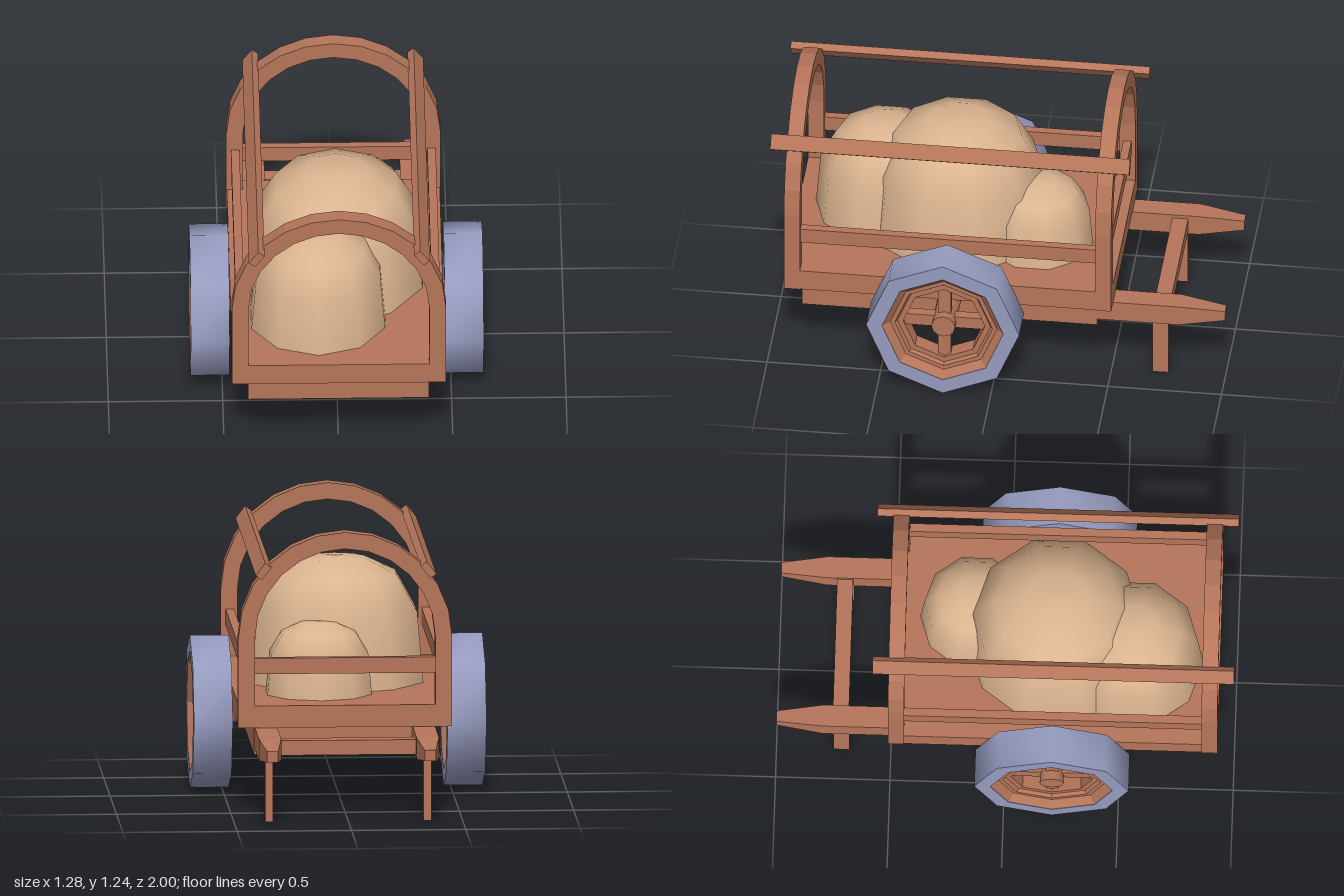
import * as THREE from 'three';
import { toCreasedNormals } from 'three/addons/utils/BufferGeometryUtils.js';

const mat = (name, color, side = THREE.FrontSide) => {
  const m = new THREE.MeshStandardMaterial({ color, side });
  m.name = name;
  return m;
};

export function createModel() {
  const cart = new THREE.Group();
  cart.name = 'handcart';
  const wood = mat('wood', 0xb5755a);
  const sackcloth = mat('sackcloth', 0xdcb590);
  const tyreBlue = mat('tyre blue', 0x969bbf);

  const add = (name, geometry, material, parent = cart) => {
    const mesh = new THREE.Mesh(geometry, material);
    mesh.name = name;
    parent.add(mesh);
    return mesh;
  };
  // Box given by its extents on each axis
  const box = (name, [x0, x1], [y0, y1], [z0, z1], parent = cart) => {
    const m = add(name, new THREE.BoxGeometry(x1 - x0, y1 - y0, z1 - z0), wood, parent);
    m.position.set((x0 + x1) / 2, (y0 + y1) / 2, (z0 + z1) / 2);
    return m;
  };

  // Bed
  box('lowerBox', [-0.395, 0.395], [0.25, 0.38], [-0.44, 0.86]);
  box('deck', [-0.465, 0.465], [0.378, 0.475], [-0.44, 0.86]);
  box('rearRail', [-0.395, 0.395], [0.613, 0.683], [-0.493, -0.457]);

  // Hoops: posts, round top and bottom crosspiece in one outline with an opening
  const outline = (Path, r, bottom) => {
    const p = new Path();
    p.moveTo(-r, bottom);
    p.lineTo(r, bottom);
    for (let i = 0; i <= 12; i++) {
      const a = (i / 12) * Math.PI;
      p.lineTo(r * Math.cos(a), 0.772 + r * Math.sin(a));
    }
    p.closePath();
    return p;
  };
  const hoopShape = outline(THREE.Shape, 0.468, 0.378);
  hoopShape.holes.push(outline(THREE.Path, 0.395, 0.475));
  const hoopGeometry = toCreasedNormals(
    new THREE.ExtrudeGeometry(hoopShape, { depth: 0.07, bevelEnabled: false }), 0.1);
  add('frontHoop', hoopGeometry, wood).position.z = 0.86;
  add('rearHoop', hoopGeometry, wood).position.z = -0.51;

  // Handle: square bar that tapers to its tip
  const handleGeometry = () => {
    const g = new THREE.BoxGeometry(0.098, 0.095, 0.56, 1, 1, 14);
    const p = g.attributes.position;
    for (let i = 0; i < p.count; i++) {
      const t = Math.max(0, (-0.08 - p.getZ(i)) / 0.2);
      p.setX(i, p.getX(i) * (1 - 0.5 * t));
      p.setY(i, p.getY(i) * (1 - 0.5 * t));
    }
    return toCreasedNormals(g, 0.1);
  };

  // Wheel parts are turned about the x axis, eight-sided with a corner at the top
  const turned = (points) => {
    const pts = points.map(([r, x]) => new THREE.Vector2(r, x));
    const g = new THREE.LatheGeometry(pts, 8);
    g.rotateZ(-Math.PI / 2);
    return g;
  };
  const tyreGeometry = toCreasedNormals(turned([
    [0.267, -0.085], [0.337, -0.085], [0.337, 0.085], [0.267, 0.085], [0.267, -0.085],
  ]), 0.87);
  const rimGeometry = toCreasedNormals(turned([
    [0.18, -0.04], [0.215, -0.04], [0.235, -0.055], [0.267, -0.083],
    [0.267, 0.083], [0.235, 0.05], [0.215, 0.05], [0.205, 0.035], [0.18, 0.035], [0.18, -0.04],
  ]), 0.1);

  for (const s of [-1, 1]) {
    const side = s > 0 ? 'left' : 'right';
    const span = (a, b) => (s > 0 ? [a, b] : [-b, -a]);

    box(side + 'SideRail', span(0.41, 0.447), [0.615, 0.685], [-0.44, 0.86]);
    add(side + 'Handle', handleGeometry(), wood).position.set(s * 0.345, 0.328, -0.72);
    box(side + 'Leg', span(0.329, 0.363), [0, 0.285], [-0.75, -0.68]);

    // Long pole resting on the hoops
    const pole = box(side + 'TopPole', span(0.344, 0.378), [1.046, 1.115], [-0.58, 1]);
    pole.rotation.z = s * 0.65;

    // Wheel
    const wheel = new THREE.Group();
    wheel.name = side + 'Wheel';
    wheel.position.set(s * 0.555, 0.338, 0.21);
    wheel.rotation.y = s > 0 ? 0 : Math.PI;
    cart.add(wheel);
    add('tyre', tyreGeometry, tyreBlue, wheel);
    add('rim', rimGeometry, wood, wheel);
    box('uprightSpoke', [-0.025, 0.02], [-0.19, 0.19], [-0.028, 0.028], wheel);
    box('levelSpoke', [-0.025, 0.02], [-0.028, 0.028], [-0.19, 0.19], wheel);
    const hub = new THREE.CylinderGeometry(0.052, 0.052, 0.225, 12).rotateZ(Math.PI / 2);
    add('hub', toCreasedNormals(hub, 0.87), wood, wheel).position.x = -0.0525;
  }
  box('handleCrossbar', [-0.3, 0.3], [0.295, 0.36], [-0.755, -0.685]);

  // Sacks: the same rounded dome at three sizes
  const dome = [[1, 0], [0.93, 0.57], [0.7, 0.86], [0.34, 0.985], [0, 1]];
  const sack = (name, x, z, radius, height) => {
    const pts = dome.map(([r, y]) => new THREE.Vector2(r * radius, y * height));
    const m = add(name, new THREE.LatheGeometry(pts, 10), sackcloth);
    m.position.set(x, 0.474, z);
  };
  sack('largeSack', 0, 0.215, 0.395, 0.548);
  sack('frontSack', -0.085, 0.55, 0.307, 0.443);
  sack('rearSack', 0.095, -0.145, 0.24, 0.315);

  return cart;
}
